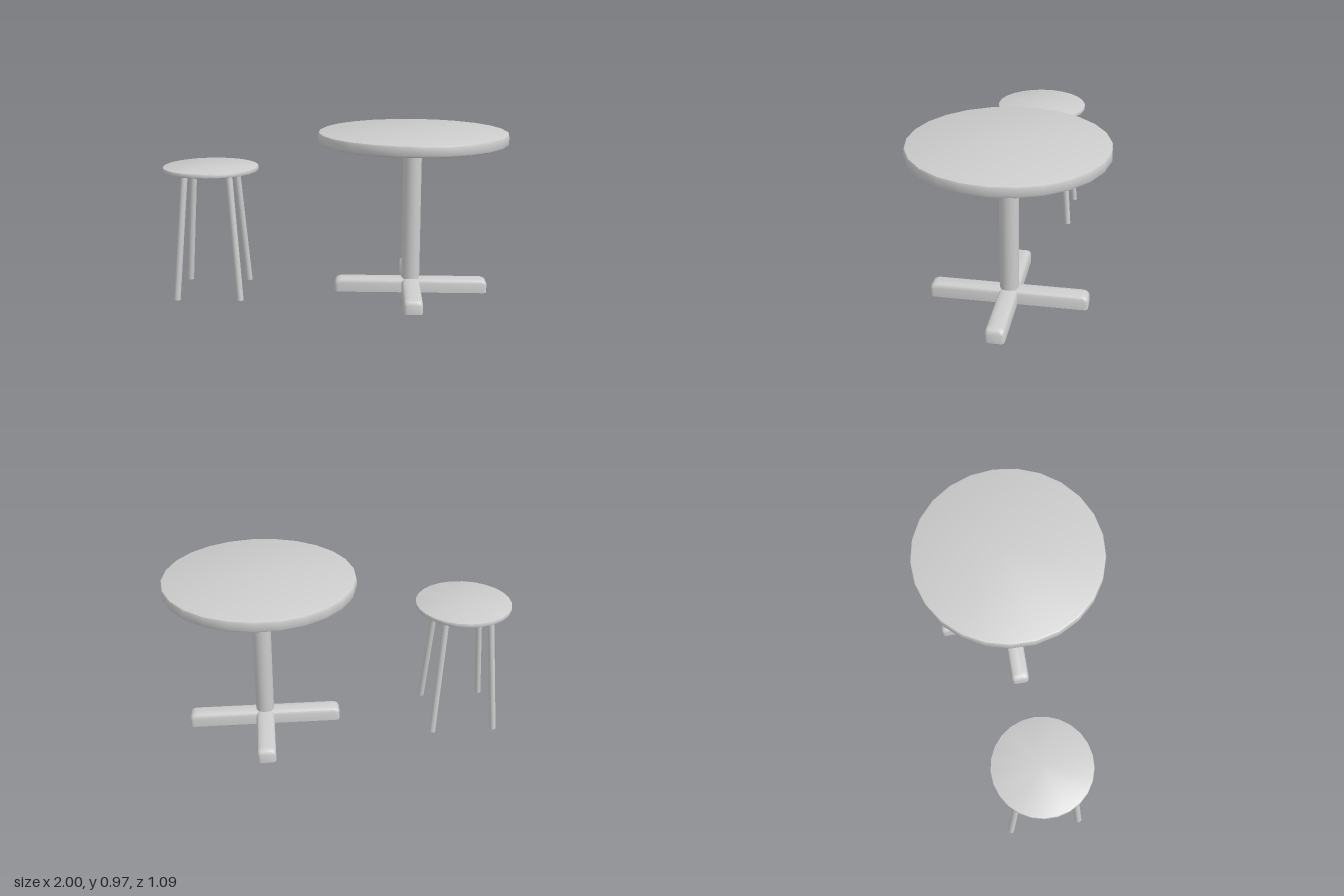
import * as THREE from 'three';
import { toCreasedNormals } from 'three/addons/utils/BufferGeometryUtils.js';

const material = new THREE.MeshStandardMaterial({ color: 0xcccccc });
const openMaterial = new THREE.MeshStandardMaterial({ color: 0xcccccc, side: THREE.DoubleSide });

function add(parent, name, geometry, mat = material) {
  const mesh = new THREE.Mesh(geometry, mat);
  mesh.name = name;
  parent.add(mesh);
  return mesh;
}

// Round slab with softened rims, 25 sides, one corner pointing to +x
function disc(radius, bottom, top, bevel) {
  const b = bevel, k = bevel * 0.3;
  const profile = [
    [0, bottom], [radius - b, bottom], [radius - k, bottom + k], [radius, bottom + b],
    [radius, top - b], [radius - k, top - k], [radius - b, top], [0, top],
  ].map(([x, y]) => new THREE.Vector2(x, y));
  const geometry = new THREE.LatheGeometry(profile, 25);
  geometry.rotateY(Math.PI / 2);
  return toCreasedNormals(geometry, 0.7);
}

// Hollow foot bar along x, open below, with rounded corners and a crowned top
function footBar(halfLength, halfWidth) {
  const rings = [ // height, inset at the ends, inset at the sides
    [0.015, 0, 0], [0.068, 0, 0], [0.084, 0.008, 0.005],
    [0.092, 0.02, 0.013], [0.097, 0.034, 0.03],
  ];
  const corner = 0.022, steps = 3, count = 4 * (steps + 1);
  const positions = [], index = [];
  for (const [y, insetX, insetZ] of rings) {
    const hx = halfLength - insetX, hz = halfWidth - insetZ;
    const c = Math.min(corner, hz);
    for (let q = 0; q < 4; q++) {
      const sx = q === 0 || q === 3 ? 1 : -1, sz = q < 2 ? 1 : -1;
      for (let s = 0; s <= steps; s++) {
        const a = (q + s / steps) * Math.PI / 2;
        positions.push(sx * (hx - c) + c * Math.cos(a), y, sz * (hz - c) + c * Math.sin(a));
      }
    }
  }
  for (let r = 0; r < rings.length - 1; r++) {
    for (let i = 0; i < count; i++) {
      const a = r * count + i, b = r * count + (i + 1) % count;
      index.push(a, a + count, b, b, a + count, b + count);
    }
  }
  // Top cap
  const last = (rings.length - 1) * count, centre = positions.length / 3;
  positions.push(0, 0.098, 0);
  for (let i = 0; i < count; i++) index.push(last + i, centre, last + (i + 1) % count);
  const geometry = new THREE.BufferGeometry();
  geometry.setAttribute('position', new THREE.Float32BufferAttribute(positions, 3));
  geometry.setIndex(index);
  return toCreasedNormals(geometry, 0.6);
}

function createTable() {
  const table = new THREE.Group();
  table.name = 'table';
  add(table, 'tableTop', disc(0.547, 0.905, 0.97, 0.013));
  const post = add(table, 'post', new THREE.CylinderGeometry(0.0535, 0.0535, 0.83, 24, 1, true), openMaterial);
  post.position.y = 0.495;
  const bar = footBar(0.449, 0.0535);
  add(table, 'footBarAcross', bar, openMaterial);
  add(table, 'footBarDeep', bar, openMaterial).rotation.y = Math.PI / 2;
  return table;
}

function createStool() {
  const stool = new THREE.Group();
  stool.name = 'stool';
  add(stool, 'seat', disc(0.279, 0.734, 0.76, 0.006));
  // Four splayed legs
  const up = new THREE.Vector3(0, 1, 0);
  for (const sx of [-1, 1]) {
    for (const sz of [-1, 1]) {
      const foot = new THREE.Vector3(sx * 0.184, 0.004, sz * 0.206);
      const head = new THREE.Vector3(sx * 0.127, 0.74, sz * 0.148);
      const axis = head.clone().sub(foot);
      const leg = add(stool, 'stoolLeg', new THREE.CylinderGeometry(0.019, 0.019, axis.length(), 16));
      leg.position.copy(foot).add(head).multiplyScalar(0.5);
      leg.quaternion.setFromUnitVectors(up, axis.normalize());
    }
  }
  return stool;
}

export function createModel() {
  const model = new THREE.Group();
  model.name = 'tableAndStool';
  const table = createTable();
  table.position.x = 0.452;
  const stool = createStool();
  stool.position.x = -0.722;
  model.add(table, stool);
  return model;
}
